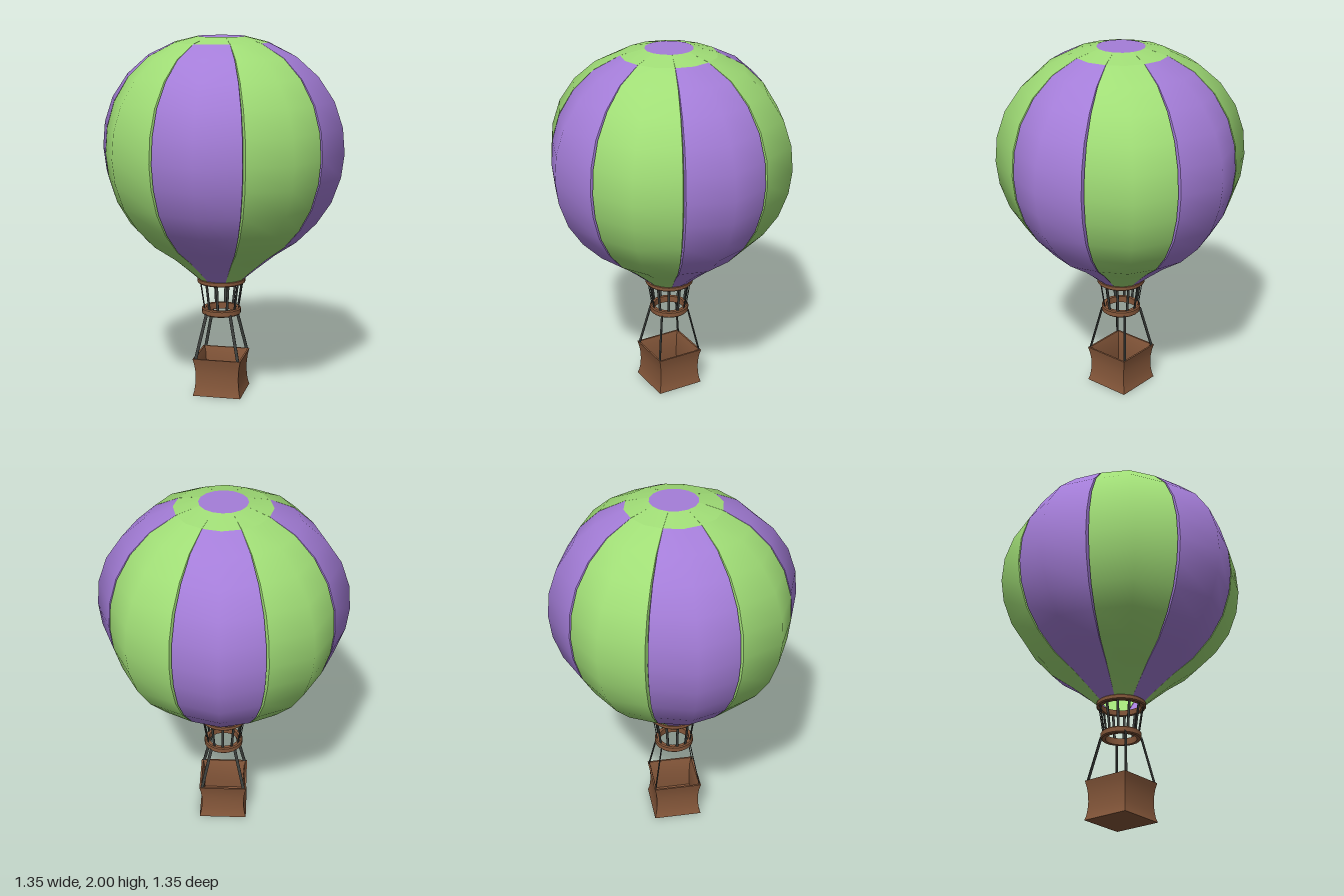
import * as THREE from 'three';
import { toCreasedNormals } from 'three/addons/utils/BufferGeometryUtils.js';

function material(name, color, side = THREE.FrontSide) {
  const m = new THREE.MeshStandardMaterial({ color, side });
  m.name = name;
  return m;
}

// Envelope profile along a gore's ridge: [radius, height], bottom to top
const PROFILE = [
  [0.13, 0.66], [0.2, 0.72], [0.3, 0.8], [0.42, 0.88], [0.53, 0.99], [0.61, 1.11],
  [0.66, 1.25], [0.677, 1.38], [0.665, 1.52], [0.618, 1.66], [0.53, 1.79], [0.41, 1.895],
  [0.26, 1.968], [0.13, 2.0],
];
const CAP_ROW = 12;

// One gore between two profile rows: two facets bulging to a ridge, with grooved seams
function goreGeometry(from, to) {
  const pos = [], index = [], cols = 5;
  for (let r = from; r <= to; r++) {
    const [radius, y] = PROFILE[r];
    const bulge = (radius - 0.13) / 0.547;
    const edge = radius * (1 - 0.062 * bulge);
    const seam = edge - 0.025 * bulge;
    const half = Math.PI / 8, inner = half - 0.012 * bulge;
    [[-half, seam], [-inner, edge], [0, radius], [inner, edge], [half, seam]].forEach(([a, d]) =>
      pos.push(d * Math.sin(a), y, d * Math.cos(a)));
  }
  for (let r = 0; r < to - from; r++) {
    for (let c = 0; c < cols - 1; c++) {
      const a = r * cols + c, b = a + 1, d = a + cols;
      index.push(a, b, d, b, d + 1, d);
    }
  }
  const g = new THREE.BufferGeometry();
  g.setAttribute('position', new THREE.Float32BufferAttribute(pos, 3));
  g.setIndex(index);
  return toCreasedNormals(g, 0.9);
}

// Closed lathe with sharp edges kept
function lathe(points, segments, crease) {
  const g = new THREE.LatheGeometry(points.map(([x, y]) => new THREE.Vector2(x, y)), segments);
  return toCreasedNormals(g, crease);
}

export function createModel() {
  const model = new THREE.Group();
  model.name = 'hotAirBalloon';
  const purple = material('purple fabric', 0xa47dd8, THREE.DoubleSide);
  const green = material('green fabric', 0xa0dd76, THREE.DoubleSide);
  const brown = material('brown wicker', 0x85573a);
  const dark = material('dark rope', 0x3b3e3b);

  const add = (parent, name, geometry, mat) => {
    const mesh = new THREE.Mesh(geometry, mat);
    mesh.name = name;
    parent.add(mesh);
    return mesh;
  };

  // Envelope: alternating gores, a green crown band and a purple cap
  const envelope = new THREE.Group();
  envelope.name = 'envelope';
  model.add(envelope);
  const body = goreGeometry(0, CAP_ROW);
  const crown = goreGeometry(CAP_ROW, PROFILE.length - 1);
  for (let i = 0; i < 8; i++) {
    const angle = (i * Math.PI) / 4;
    add(envelope, i % 2 ? 'greenGore' : 'purpleGore', body, i % 2 ? green : purple).rotation.y = angle;
    add(envelope, 'crownBand', crown, green).rotation.y = angle;
  }
  const cap = add(envelope, 'crownCap', new THREE.CircleGeometry(0.13, 16), purple);
  cap.rotation.x = -Math.PI / 2;
  cap.position.y = 2;

  // Two wooden hoops under the mouth
  const hoop = (name, inner, outer, y0, y1) => {
    const b = 0.006;
    add(model, name, lathe([
      [inner, y0], [outer - b, y0], [outer, y0 + b], [outer, y1 - b], [outer - b, y1], [inner, y1], [inner, y0],
    ], 24, 0.6), brown);
  };
  hoop('upperHoop', 0.108, 0.135, 0.635, 0.665);
  hoop('lowerHoop', 0.085, 0.11, 0.455, 0.492);

  // Flat strap between two points, its width turned by `turn` around y
  const strap = (name, from, to, width, turn) => {
    const a = new THREE.Vector3(...from), b = new THREE.Vector3(...to);
    const dir = b.clone().sub(a);
    const m = add(model, name, new THREE.BoxGeometry(width, dir.length(), 0.004), dark);
    const up = dir.clone().normalize();
    const side = new THREE.Vector3(Math.cos(turn), 0, -Math.sin(turn));
    side.addScaledVector(up, -side.dot(up)).normalize();
    const out = new THREE.Vector3().crossVectors(side, up);
    m.quaternion.setFromRotationMatrix(new THREE.Matrix4().makeBasis(side, up, out));
    m.position.copy(a).add(b).multiplyScalar(0.5);
  };

  // Straps joining the hoops
  for (let i = 0; i < 12; i++) {
    const t = (i * Math.PI) / 6, s = Math.sin(t), c = Math.cos(t);
    strap('hoopStrap', [0.097 * s, 0.48, 0.097 * c], [0.122 * s, 0.645, 0.122 * c], 0.014, t);
  }

  // Straps from the lower hoop to the basket corners
  for (const x of [-1, 1]) {
    for (const z of [-1, 1]) {
      strap('basketStrap', [x * 0.122, 0.205, z * 0.13], [x * 0.067, 0.465, z * 0.084], 0.017, 0);
    }
  }

  // Open basket with waisted sides: outer wall, rim, inner wall and floor
  const basket = add(model, 'basket', lathe([
    [0, 0], [0.136, 0], [0.129, 0.025], [0.124, 0.06], [0.122, 0.1], [0.123, 0.14], [0.128, 0.18], [0.136, 0.215],
    [0.126, 0.215], [0.118, 0.18], [0.112, 0.1], [0.116, 0.02], [0, 0.02],
  ].map(([x, y]) => [x * Math.SQRT2, y]), 4, 0.6), brown);
  basket.rotation.y = Math.PI / 4;

  return model;
}
